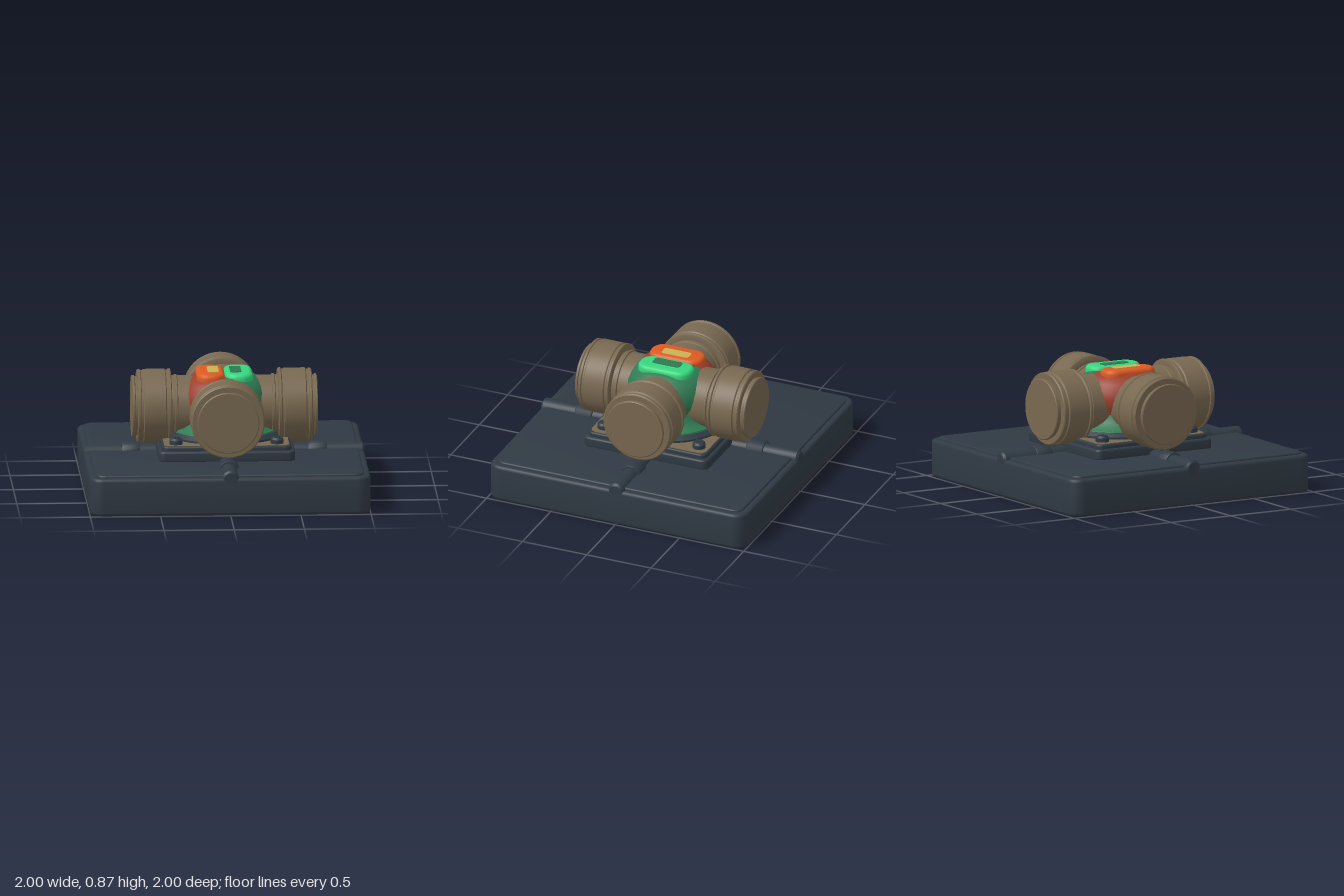
import * as THREE from 'three';
import { toCreasedNormals } from 'three/addons/utils/BufferGeometryUtils.js';

function material(name, color) {
  const m = new THREE.MeshStandardMaterial({ color });
  m.name = name;
  return m;
}

// Rounded rectangle slab lying flat, from y0 to y1, with bevelled edges.
function slab(w, d, r, y0, y1, bevel) {
  const x = w / 2 - bevel, y = d / 2 - bevel, c = Math.max(r - bevel, 0.005);
  const s = new THREE.Shape();
  s.moveTo(-x + c, -y);
  s.lineTo(x - c, -y);
  s.absarc(x - c, -y + c, c, -Math.PI / 2, 0, false);
  s.lineTo(x, y - c);
  s.absarc(x - c, y - c, c, 0, Math.PI / 2, false);
  s.lineTo(-x + c, y);
  s.absarc(-x + c, y - c, c, Math.PI / 2, Math.PI, false);
  s.lineTo(-x, -y + c);
  s.absarc(-x + c, -y + c, c, Math.PI, Math.PI * 1.5, false);
  const g = new THREE.ExtrudeGeometry(s, {
    depth: y1 - y0 - 2 * bevel, bevelEnabled: bevel > 0, bevelSize: bevel,
    bevelThickness: bevel, bevelSegments: 4, curveSegments: 8,
  });
  g.rotateX(-Math.PI / 2).translate(0, y0 + bevel, 0);
  return toCreasedNormals(g, 0.6);
}

// Turned part from [radius, height] pairs, bottom to top.
function turned(pairs, segments = 48, start = 0, sweep = Math.PI * 2) {
  const pts = pairs.map(([r, y]) => new THREE.Vector2(r, y));
  return toCreasedNormals(new THREE.LatheGeometry(pts, segments, start, sweep), 0.6);
}

export function createModel() {
  const root = new THREE.Group();
  root.name = 'valveManifold';
  const dark = material('slate', 0x303a44);
  const tan = material('bronze', 0x786850);
  const green = material('deepGreen', 0x2f7a52);
  const red = material('brickRed', 0x9c3e2e);
  const orange = material('orange', 0xdc5a22);
  const bright = material('brightGreen', 0x36d67e);
  const yellow = material('yellow', 0xcdb055);

  function add(name, geometry, mat, parent = root) {
    const m = new THREE.Mesh(geometry, mat);
    m.name = name;
    parent.add(m);
    return m;
  }

  // Square base and mounting plates
  add('base', slab(2, 2, 0.1, 0, 0.272, 0.025), dark);
  add('baseTop', slab(1.91, 1.91, 0.07, 0.25, 0.288, 0.012), dark);
  add('lowerPlate', slab(0.97, 0.97, 0.05, 0.28, 0.36, 0.015), dark);
  add('upperPlate', slab(0.92, 0.92, 0.05, 0.34, 0.392, 0.012), dark);
  add('plateFace', slab(0.89, 0.89, 0.05, 0.388, 0.396, 0), tan);
  add('pedestal', turned([[0.42, 0.385], [0.42, 0.41], [0.39, 0.435], [0, 0.435]]), dark);

  // Corner bolts with cross slots
  for (const x of [-0.36, 0.36]) for (const z of [-0.37, 0.37]) {
    const bolt = new THREE.Group();
    bolt.name = 'bolt';
    bolt.position.set(x, 0, z);
    root.add(bolt);
    add('boltHead', turned([[0.047, 0.39], [0.047, 0.425], [0.035, 0.44], [0, 0.44]], 20), dark, bolt);
    for (const a of [Math.PI / 4, -Math.PI / 4]) {
      const bar = add('boltCross', new THREE.BoxGeometry(0.05, 0.006, 0.012), dark, bolt);
      bar.position.y = 0.442;
      bar.rotation.y = a;
    }
  }

  // Central body: green skirt, upper half split between red and green
  add('skirt', turned([[0.385, 0.43], [0.38, 0.445], [0.345, 0.465], [0.315, 0.5], [0.3, 0.55]]), green);
  const dome = [[0.3, 0.55], [0.325, 0.6], [0.33, 0.66], [0.318, 0.72], [0.29, 0.765],
    [0.25, 0.803], [0.2, 0.827], [0.1, 0.835], [0, 0.836]];
  add('rightBody', turned(dome, 28, Math.PI, Math.PI), red);
  add('leftBody', turned(dome, 28, 0, Math.PI), green);

  // Paired top buttons with inset slots
  for (const [side, name, mat, slotMat] of [[-1, 'right', orange, yellow], [1, 'left', bright, green]]) {
    add(name + 'Button', slab(0.2, 0.41, 0.09, 0.76, 0.858, 0.03), mat).position.x = side * 0.1;
    add(name + 'Slot', slab(0.08, 0.21, 0.02, 0.855, 0.862, 0), slotMat).position.x = side * 0.08;
  }

  // Four capped arms, each with a pipe along the base below it
  const arm = turned([[0.215, 0], [0.215, 0.335], [0.225, 0.34], [0.225, 0.355], [0.215, 0.36],
    [0.215, 0.38], [0.255, 0.38], [0.265, 0.386], [0.265, 0.4], [0.255, 0.407], [0.255, 0.417],
    [0.263, 0.424], [0.263, 0.575], [0.253, 0.582], [0.253, 0.595], [0.261, 0.6], [0.261, 0.615],
    [0.253, 0.622], [0.212, 0.622], [0.212, 0.637], [0.22, 0.642], [0.22, 0.655], [0.214, 0.66], [0, 0.66]], 64);
  arm.rotateX(Math.PI / 2).translate(0, 0.6, 0);
  const pipe = turned([[0.06, 0.45], [0.06, 0.985], [0.045, 1], [0, 1]], 24);
  pipe.rotateX(Math.PI / 2).translate(0, 0.264, 0);
  const coupling = turned([[0, 0.6], [0.07, 0.6], [0.076, 0.61], [0.076, 0.72], [0.07, 0.73], [0, 0.73]], 24);
  coupling.rotateX(Math.PI / 2).translate(0, 0.264, 0);
  ['front', 'left', 'back', 'right'].forEach((name, i) => {
    const branch = new THREE.Group();
    branch.name = name + 'Branch';
    branch.rotation.y = i * Math.PI / 2;
    root.add(branch);
    add('arm', arm, tan, branch);
    add('pipe', pipe, dark, branch);
    add('pipeCoupling', coupling, dark, branch);
  });
  return root;
}
